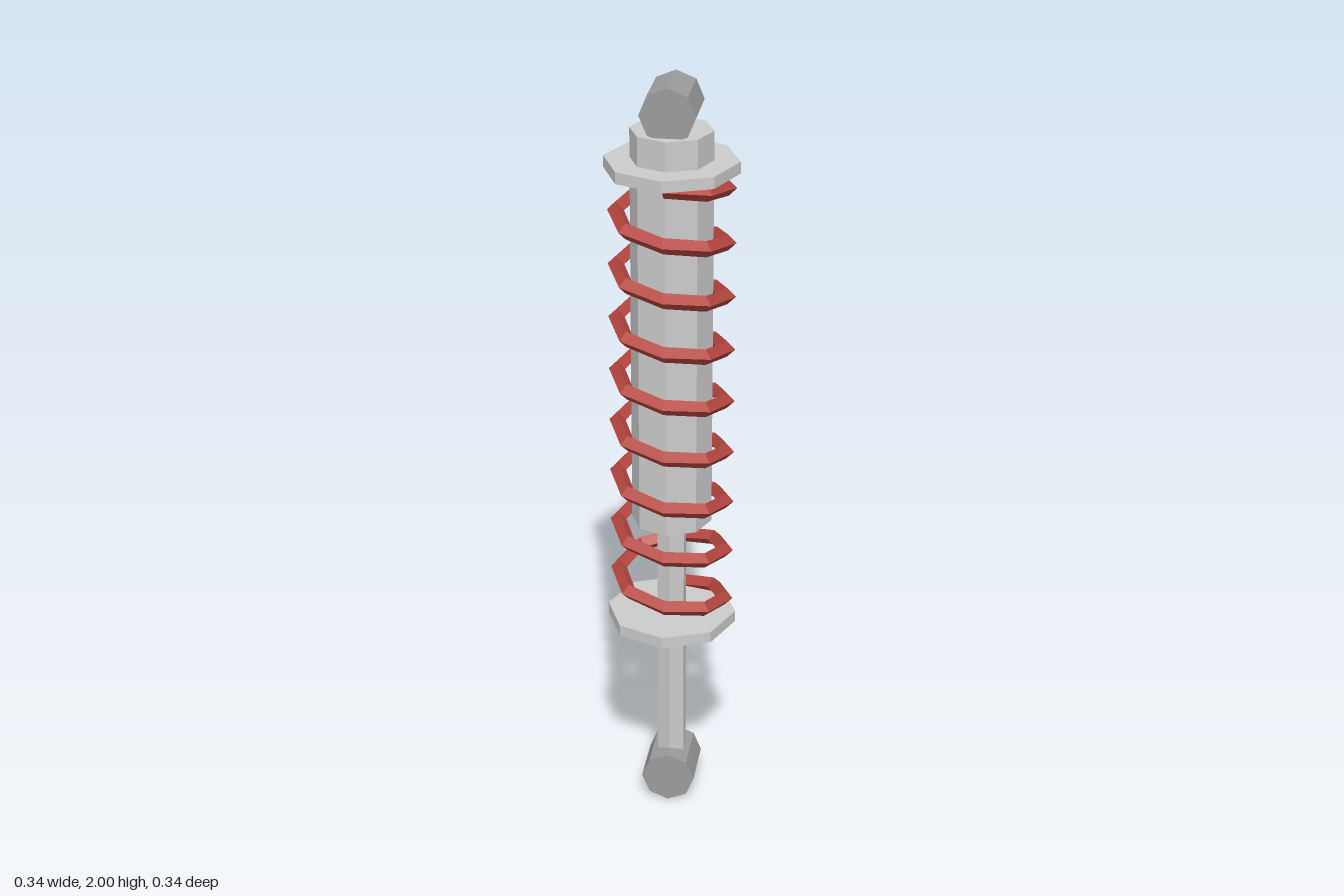
import * as THREE from 'three';

const mat = (name, color) => {
  const m = new THREE.MeshStandardMaterial({ color, flatShading: true });
  m.name = name;
  return m;
};

// Octagonal helix with a diamond-shaped wire section and closed ends
function coilGeometry(radius, wire, y0, y1, turns, perTurn) {
  const steps = Math.round(turns * perTurn);
  const pos = [], index = [];
  for (let i = 0; i <= steps; i++) {
    const a = -Math.PI / 2 + (i / perTurn) * Math.PI * 2;
    const y = y0 + ((y1 - y0) * i) / steps;
    for (let k = 0; k < 4; k++) {
      const b = (k * Math.PI) / 2;
      const r = radius + wire * Math.cos(b);
      pos.push(r * Math.cos(a), y + wire * Math.sin(b), r * Math.sin(a));
    }
  }
  for (let i = 0; i < steps; i++) {
    for (let k = 0; k < 4; k++) {
      const a = i * 4 + k, b = i * 4 + ((k + 1) % 4), c = a + 4, d = b + 4;
      index.push(a, b, c, b, d, c);
    }
  }
  const e = steps * 4;
  index.push(0, 2, 1, 0, 3, 2, e, e + 1, e + 2, e, e + 2, e + 3);
  const g = new THREE.BufferGeometry();
  g.setAttribute('position', new THREE.Float32BufferAttribute(pos, 3));
  g.setIndex(index);
  const flat = g.toNonIndexed();
  flat.computeVertexNormals();
  return flat;
}

export function createModel() {
  const model = new THREE.Group();
  model.name = 'shockAbsorber';
  const steel = mat('lightSteel', 0xcccccc);
  const mount = mat('darkSteel', 0x9c9c9c);
  const red = mat('springRed', 0xb5453e);

  const add = (name, geometry, material) => {
    const mesh = new THREE.Mesh(geometry, material);
    mesh.name = name;
    model.add(mesh);
    return mesh;
  };
  // Upright prism between two heights
  const post = (name, r, y0, y1, sides) => {
    add(name, new THREE.CylinderGeometry(r, r, y1 - y0, sides), steel).position.y = (y0 + y1) / 2;
  };

  // Damper body and piston rod
  post('damperBody', 0.104, 0.82, 1.875, 8);
  post('pistonRod', 0.04, 0.08, 0.9, 6);

  // Spring seats
  post('lowerSpringSeat', 0.169, 0.525, 0.555, 8);
  post('upperSpringSeat', 0.169, 1.77, 1.8, 8);

  // Mounting eyes, lying front to back
  for (const [name, y] of [['lowerMount', 0.07], ['upperMount', 1.93]]) {
    const eye = add(name, new THREE.CylinderGeometry(0.07, 0.07, 0.152, 8), mount);
    eye.rotation.x = Math.PI / 2;
    eye.position.y = y;
  }

  // Coil spring
  add('coilSpring', coilGeometry(0.14, 0.021, 0.558, 1.768, 8.5, 8), red);
  return model;
}
